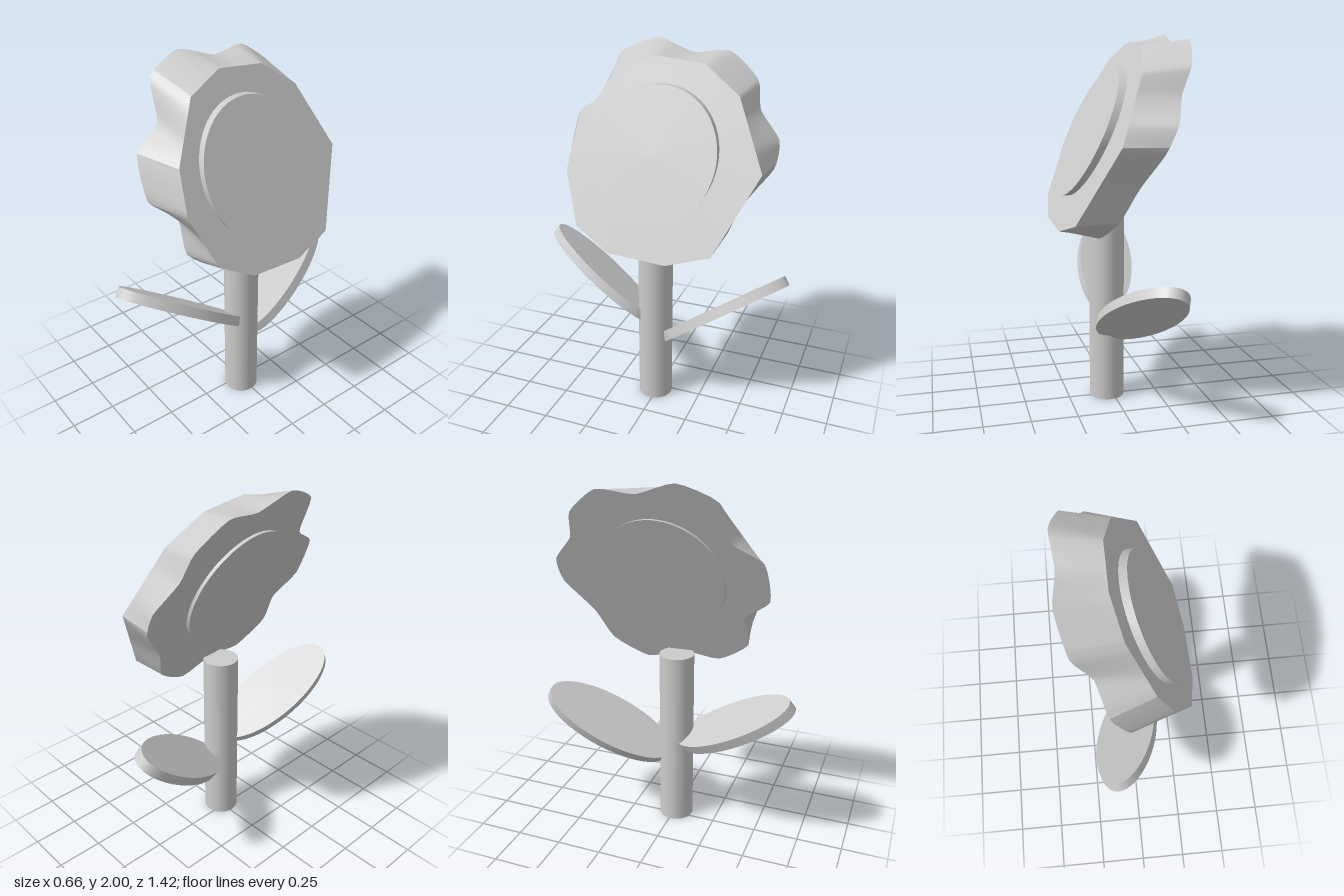
import * as THREE from 'three';

const material = new THREE.MeshStandardMaterial({ color: 0xcccccc });

function addMesh(parent, name, geometry) {
  const mesh = new THREE.Mesh(geometry, material);
  mesh.name = name;
  parent.add(mesh);
  return mesh;
}

// Outlines of the flower head, counter-clockwise as seen from its face
const FRONT = [[0.57, -0.03], [0.404, 0.31], [0.21, 0.445], [-0.057, 0.473], [-0.257, 0.389],
  [-0.423, 0.115], [-0.449, -0.1], [-0.35, -0.36], [-0.16, -0.467], [0.15, -0.49], [0.377, -0.425]];
const LOBES = [[0.583, -0.064], [0.589, 0.074], [0.472, 0.207], [0.435, 0.35], [0.27, 0.477],
  [0.074, 0.461], [-0.133, 0.525], [-0.33, 0.44], [-0.36, 0.239], [-0.515, 0.138], [-0.53, -0.08],
  [-0.393, -0.196], [-0.398, -0.372], [-0.223, -0.494], [-0.016, -0.462], [0.19, -0.53],
  [0.377, -0.419], [0.45, -0.24]];

// The back outline is slightly rounded between its points
const BACK = new THREE.CatmullRomCurve3(
  LOBES.map(([x, y]) => new THREE.Vector3(x, y, 0)), true, 'catmullrom', 0.3)
  .getPoints(72).slice(0, -1).map((p) => [p.x, p.y]);

const angleOf = ([x, y]) => (Math.atan2(y, x) + 2 * Math.PI) % (2 * Math.PI);

// Distance from the centre to a polygon in the given direction
function reach(outline, angle) {
  const dx = Math.cos(angle), dy = Math.sin(angle);
  let best = 0;
  outline.forEach(([ax, ay], i) => {
    const [bx, by] = outline[(i + 1) % outline.length];
    const ex = bx - ax, ey = by - ay;
    const det = dx * ey - dy * ex;
    if (Math.abs(det) < 1e-9) return;
    const r = (ax * ey - ay * ex) / det;
    const s = (ax * dy - ay * dx) / det;
    if (r > 0 && s > -1e-6 && s < 1 + 1e-6) best = Math.max(best, r);
  });
  return best;
}

// Petal ring: smooth loft from the wavy back outline to the plainer front one, with flat caps
function petalGeometry(halfDepth) {
  const angles = [...FRONT, ...BACK].map(angleOf).sort((a, b) => a - b);
  const n = angles.length;
  const positions = [], index = [];
  const ring = (outline, z) => {
    const start = positions.length / 3;
    for (const a of angles) {
      const r = reach(outline, a);
      positions.push(r * Math.cos(a), r * Math.sin(a), z);
    }
    return start;
  };
  const sideBack = ring(BACK, -halfDepth), sideFront = ring(FRONT, halfDepth);
  const capBack = ring(BACK, -halfDepth), capFront = ring(FRONT, halfDepth);
  const centre = positions.length / 3;
  positions.push(0, 0, -halfDepth, 0, 0, halfDepth);
  for (let i = 0; i < n; i++) {
    const j = (i + 1) % n;
    index.push(sideBack + i, sideBack + j, sideFront + j, sideBack + i, sideFront + j, sideFront + i);
    index.push(centre, capBack + j, capBack + i);
    index.push(centre + 1, capFront + i, capFront + j);
  }
  const geometry = new THREE.BufferGeometry();
  geometry.setAttribute('position', new THREE.Float32BufferAttribute(positions, 3));
  geometry.setIndex(index);
  geometry.computeVertexNormals();
  return geometry;
}

// Leaf: thin elliptical slab given by its underside centre, top normal and long direction
function addLeaf(parent, name, centre, normal, along) {
  const thickness = 0.056;
  const n = new THREE.Vector3(...normal).normalize();
  const a = new THREE.Vector3(...along);
  a.addScaledVector(n, -a.dot(n)).normalize();
  const side = new THREE.Vector3().crossVectors(a, n);
  const geometry = new THREE.CylinderGeometry(1, 1, thickness, 48).scale(0.393, 1, 0.165);
  const leaf = addMesh(parent, name, geometry);
  leaf.quaternion.setFromRotationMatrix(new THREE.Matrix4().makeBasis(a, n, side));
  leaf.position.set(...centre).addScaledVector(n, thickness / 2);
}

export function createModel() {
  const model = new THREE.Group();
  model.name = 'flower';

  // Stem
  addMesh(model, 'stem', new THREE.CylinderGeometry(0.096, 0.096, 1.02, 40))
    .position.set(0.032, 0.51, 0.011);

  // Leaves on both sides of the stem
  addLeaf(model, 'upperLeaf', [-0.036, 0.66, 0.38], [-0.25, 0.8, -0.54], [-0.21, 0.5, 0.84]);
  addLeaf(model, 'lowerLeaf', [-0.048, 0.55, -0.38], [-0.3, 0.775, 0.558], [-0.26, 0.51, -0.82]);

  // Flower head: faces +x, its depth running along x while the faces lean back and turn a little
  const head = new THREE.Group();
  head.name = 'flowerHead';
  model.add(head);
  const lean = new THREE.Matrix4().set(
    -0.06, -0.44, 1, 0.008,
    0, 1, 0, 1.475,
    -1, 0, 0, 0,
    0, 0, 0, 1);

  addMesh(head, 'petals', petalGeometry(0.109).applyMatrix4(lean));

  // Centre disc, standing proud of the petals on both faces
  const disc = new THREE.CylinderGeometry(0.335, 0.325, 0.28, 64)
    .rotateX(Math.PI / 2).translate(0.012, 0.013, 0.01);
  addMesh(head, 'centreDisc', disc.applyMatrix4(lean));

  return model;
}
